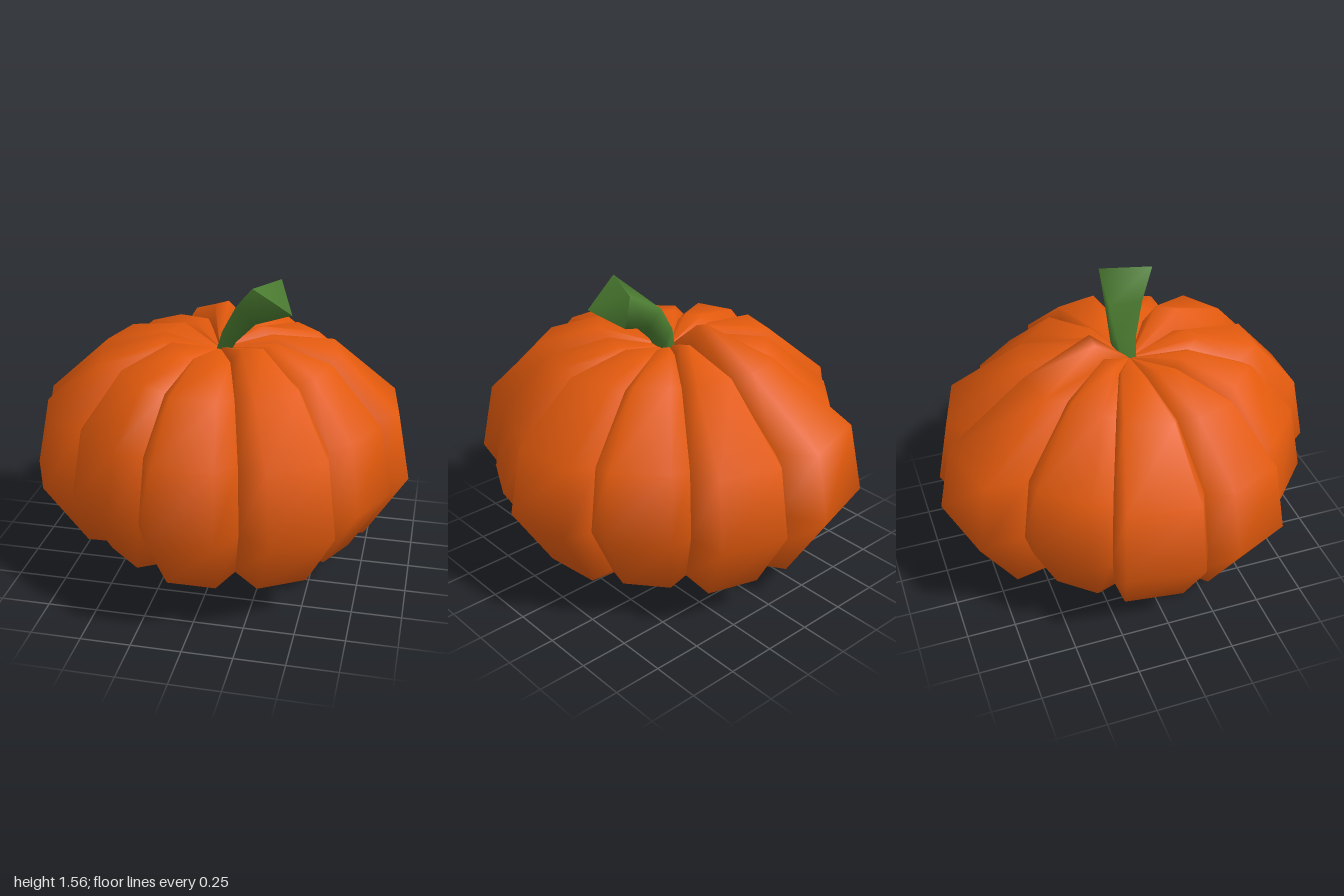
import * as THREE from 'three';

// Smooth surface through a list of cross-sections (each an array of [x, y, z])
function loft(sections, closed = false) {
  const n = sections[0].length, index = [];
  for (let i = 0; i < sections.length - 1; i++) {
    for (let j = 0; j < (closed ? n : n - 1); j++) {
      const k = (j + 1) % n, a = i * n + j, b = i * n + k;
      index.push(a, a + n, b, b, a + n, b + n);
    }
  }
  const g = new THREE.BufferGeometry();
  g.setAttribute('position', new THREE.Float32BufferAttribute(sections.flat(2), 3));
  g.setIndex(index);
  g.computeVertexNormals();
  return g;
}

// Each lobe at its widest: two outer corners [x, z], the groove after it, and its crown height
const LOBES = [
  { a: [-0.16, 0.99], b: [0.15, 0.99], groove: [0.24, 0.83], crown: 1.25 },
  { a: [0.40, 0.94], b: [0.68, 0.77], groove: [0.65, 0.57], crown: 1.30 },
  { a: [0.76, 0.53], b: [0.89, 0.27], groove: [0.85, 0.15], crown: 1.26 },
  { a: [0.97, 0.08], b: [0.92, -0.28], groove: [0.78, -0.31], crown: 1.25 },
  { a: [0.79, -0.43], b: [0.59, -0.66], groove: [0.46, -0.66], crown: 1.26 },
  { a: [0.45, -0.86], b: [0.12, -0.96], groove: [0, -0.80], crown: 1.28 },
  { a: [-0.11, -1.0], b: [-0.49, -0.89], groove: [-0.47, -0.66], crown: 1.36 },
  { a: [-0.59, -0.65], b: [-0.79, -0.43], groove: [-0.78, -0.31], crown: 1.27 },
  { a: [-0.92, -0.29], b: [-0.98, 0.09], groove: [-0.85, 0.15], crown: 1.26 },
  { a: [-0.94, 0.28], b: [-0.81, 0.57], groove: [-0.65, 0.58], crown: 1.26 },
  { a: [-0.62, 0.65], b: [-0.39, 0.86], groove: [-0.24, 0.83], crown: 1.26 },
];

// Profile running from crown to base, leaning slightly towards the front
function rib([x, z], crown, shrink) {
  const d = z / Math.hypot(x, z);
  const rows = [
    [0.28 + 0.11 * d, crown], [0.61 + 0.09 * d, 1.19 - 0.02 * d], [0.93, 0.91],
    [1, 0.56], [0.78, 0.21 + 0.015 * d], [0.27 + 0.09 * d, 0.04 + 0.04 * d],
  ];
  return [
    [-0.02, 1.18, 0.04],
    ...rows.map(([f, y]) => [x * f, 0.6 + (y - 0.6) * shrink, z * f]),
    [0, 0.09, 0],
  ];
}

export function createModel() {
  const group = new THREE.Group();
  const rind = new THREE.MeshStandardMaterial({ color: 0xe35a0d });
  rind.name = 'orange rind';
  const green = new THREE.MeshStandardMaterial({ color: 0x4a7a30 });
  green.name = 'stem green';
  const add = (name, geometry, material) => {
    const mesh = new THREE.Mesh(geometry, material);
    mesh.name = name;
    group.add(mesh);
  };

  // Lobes: groove, corner, corner, groove
  LOBES.forEach((lobe, i) => {
    const before = LOBES[(i + LOBES.length - 1) % LOBES.length].groove;
    const ribs = [
      rib(before, 1.26, 0.93), rib(lobe.a, lobe.crown, 1),
      rib(lobe.b, lobe.crown - 0.02, 1), rib(lobe.groove, 1.26, 0.93),
    ];
    add('lobe' + (i + 1), loft(ribs[0].map((_, row) => ribs.map((r) => r[row]))), rind);
  });

  // Bent four-sided stem, flaring to a slanted cut
  const stem = [
    [[-0.04, 1.15, 0.07], [-0.03, 1.15, 0], [0.03, 1.15, 0], [0.03, 1.15, 0.07]],
    [[0, 1.28, 0.08], [0.01, 1.30, -0.02], [0.07, 1.23, -0.03], [0.07, 1.23, 0.09]],
    [[0.08, 1.43, 0.14], [0.09, 1.43, -0.03], [0.17, 1.35, -0.02], [0.18, 1.35, 0.14]],
    [[0.18, 1.56, 0.23], [0.28, 1.54, -0.02], [0.28, 1.36, 0.02], [0.37, 1.43, 0.20]],
  ];
  add('stem', loft(stem, true), green);
  const [tf, tb, bb, bf] = stem[3];
  add('stemCut', loft([[tf, tb], [bf, bb]]), green);
  return group;
}
